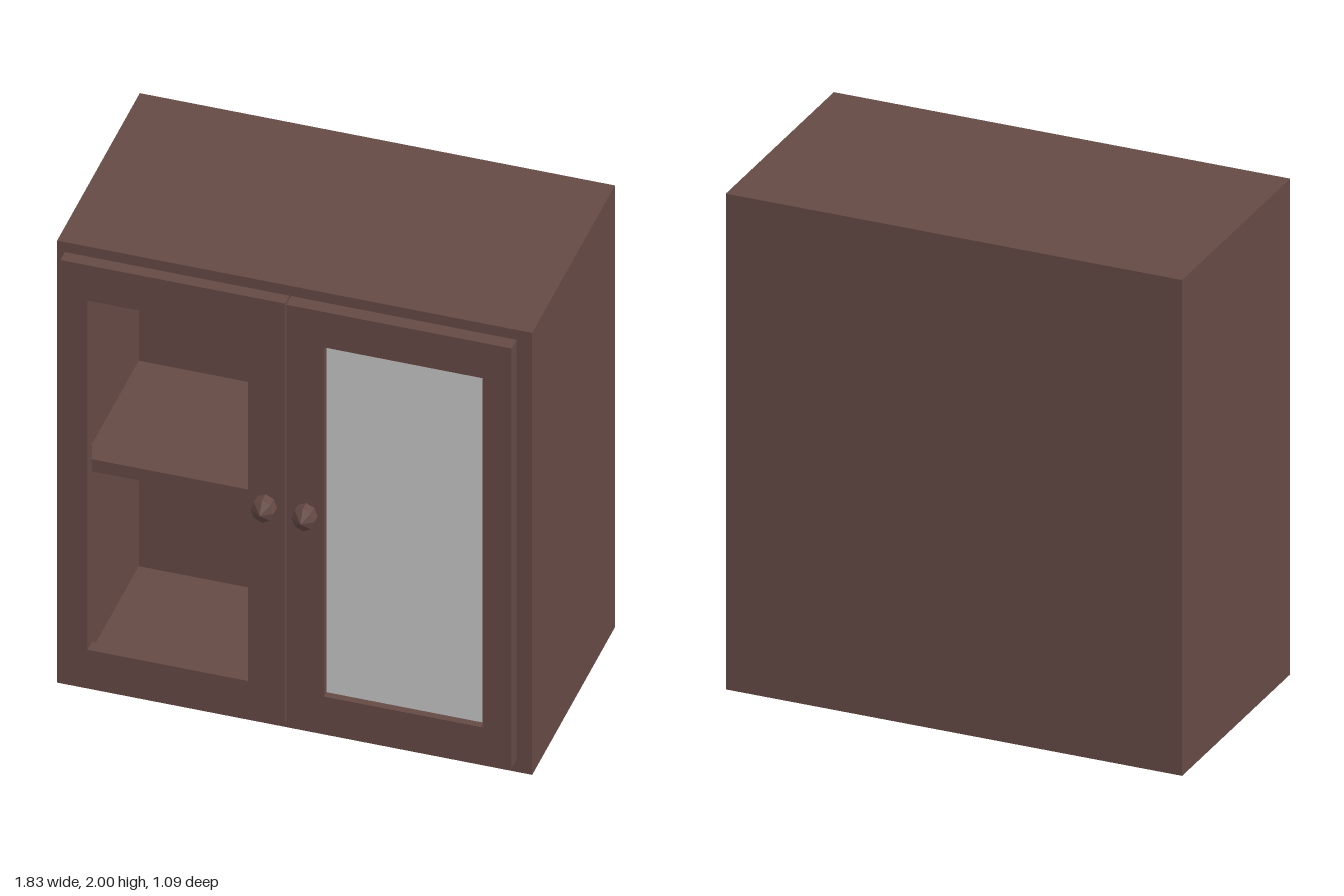
import * as THREE from 'three';

const wood = new THREE.MeshStandardMaterial({ color: 0x664a45, flatShading: true });
wood.name = 'dark wood';
const glass = new THREE.MeshStandardMaterial({ color: 0xc8c8c8, side: THREE.DoubleSide });
glass.name = 'pale glass';

// Trace a rectangle into a Shape or Path
function rect(path, x0, y0, x1, y1) {
  path.moveTo(x0, y0);
  path.lineTo(x1, y0);
  path.lineTo(x1, y1);
  path.lineTo(x0, y1);
  path.closePath();
  return path;
}

// Rectangular frame with an opening, running from z0 to z1
function frame(name, outer, inner, z0, z1) {
  const shape = rect(new THREE.Shape(), ...outer);
  shape.holes.push(rect(new THREE.Path(), ...inner));
  const geo = new THREE.ExtrudeGeometry(shape, { depth: z1 - z0, bevelEnabled: false });
  geo.translate(0, 0, z0);
  const mesh = new THREE.Mesh(geo, wood);
  mesh.name = name;
  return mesh;
}

// Box given by its two opposite corners
function box(name, [x0, y0, z0], [x1, y1, z1]) {
  const mesh = new THREE.Mesh(new THREE.BoxGeometry(x1 - x0, y1 - y0, z1 - z0), wood);
  mesh.position.set((x0 + x1) / 2, (y0 + y1) / 2, (z0 + z1) / 2);
  mesh.name = name;
  return mesh;
}

// Faceted knob with its point facing forward
function knob(name, x, z) {
  const geo = new THREE.SphereGeometry(0.058, 8, 3);
  geo.rotateX(Math.PI / 2);
  const mesh = new THREE.Mesh(geo, wood);
  mesh.scale.x = 0.88;
  mesh.position.set(x, 1.025, z);
  mesh.name = name;
  return mesh;
}

export function createModel() {
  const cabinet = new THREE.Group();
  cabinet.name = 'cabinet';

  // Carcass: four thick walls, a solid back and one shelf
  cabinet.add(
    frame('carcassWalls', [-0.915, 0, 0.915, 2], [-0.815, 0.1, 0.815, 1.9], -0.23, 0.42),
    box('back', [-0.915, 0, -0.545], [0.915, 2, -0.23]),
    box('shelf', [-0.815, 0.975, -0.23], [0.815, 1.03, 0.405]),
  );

  // Open door on one side, glazed door on the other
  cabinet.add(
    frame('rightDoor', [-0.885, 0.055, -0.02, 1.955], [-0.78, 0.215, -0.163, 1.795], 0.42, 0.472),
    frame('leftDoor', [-0.013, 0.055, 0.855, 1.955], [0.132, 0.215, 0.742, 1.795], 0.42, 0.477),
  );
  const pane = new THREE.Mesh(new THREE.PlaneGeometry(0.61, 1.58), glass);
  pane.position.set(0.437, 1.005, 0.448);
  pane.name = 'glassPane';
  cabinet.add(pane);

  // Knobs
  cabinet.add(knob('rightKnob', -0.095, 0.484), knob('leftKnob', 0.063, 0.487));

  return cabinet;
}
